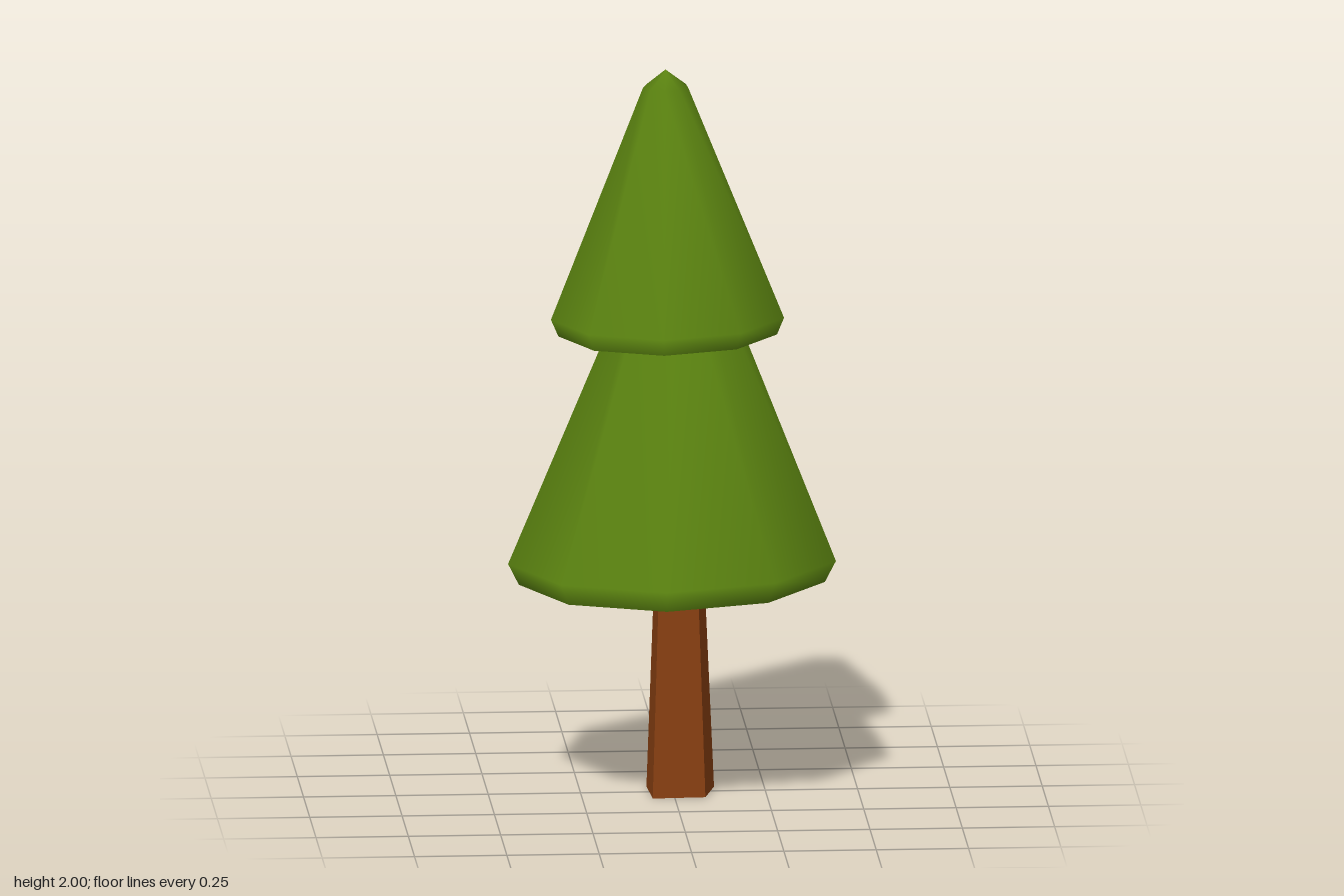
import * as THREE from 'three';

const leafGreen = new THREE.MeshStandardMaterial({ color: 0x5a8210, side: THREE.DoubleSide });
leafGreen.name = 'leafGreen';
const barkBrown = new THREE.MeshStandardMaterial({ color: 0x8a4012 });
barkBrown.name = 'barkBrown';

// Hollow nine-sided bough cone with a turned-in lower rim and a blunt tip.
// Profile is [radius, height]; the axis shifts by lean, the rim by tilt.
function boughs(name, profile, centreX, lean, tilt) {
  const points = profile.map(([r, y]) => new THREE.Vector2(r, y));
  const geometry = new THREE.LatheGeometry(points, 9, THREE.MathUtils.degToRad(74));
  const base = profile[0][1];
  const height = profile[profile.length - 1][1] - base;
  const pos = geometry.attributes.position;
  for (let i = 0; i < pos.count; i++) {
    const x = pos.getX(i), y = pos.getY(i);
    pos.setX(i, x + centreX + (lean * (y - base)) / height);
    pos.setY(i, y + x * tilt);
  }
  const mesh = new THREE.Mesh(geometry, leafGreen);
  mesh.name = name;
  return mesh;
}

// Four-cornered tapering trunk, slightly irregular, ending inside the lower boughs.
function trunk() {
  const height = 0.75;
  const corners = { '1,1': [0.083, 0.076], '-1,1': [-0.06, 0.083], '-1,-1': [-0.067, -0.068], '1,-1': [0.115, -0.054] };
  const geometry = new THREE.BoxGeometry(2, height, 2);
  geometry.translate(0, height / 2, 0);
  const pos = geometry.attributes.position;
  for (let i = 0; i < pos.count; i++) {
    const [x, z] = corners[`${Math.sign(pos.getX(i))},${Math.sign(pos.getZ(i))}`];
    const taper = pos.getY(i) > 0.1 ? 0.67 : 1;
    pos.setX(i, 0.01 + (x - 0.01) * taper);
    pos.setZ(i, 0.005 + (z - 0.005) * taper);
  }
  geometry.computeVertexNormals();
  const mesh = new THREE.Mesh(geometry, barkBrown);
  mesh.name = 'trunk';
  return mesh;
}

export function createModel() {
  const tree = new THREE.Group();
  tree.name = 'tree';
  tree.add(
    trunk(),
    boughs('lowerBoughs', [[0.42, 0.593], [0.45, 0.652], [0.07, 1.56], [0, 1.62]], 0, 0.01, 0.018),
    boughs('upperBoughs', [[0.3, 1.275], [0.32, 1.322], [0.062, 1.952], [0, 2]], -0.012, -0.008, 0.018)
  );
  return tree;
}
